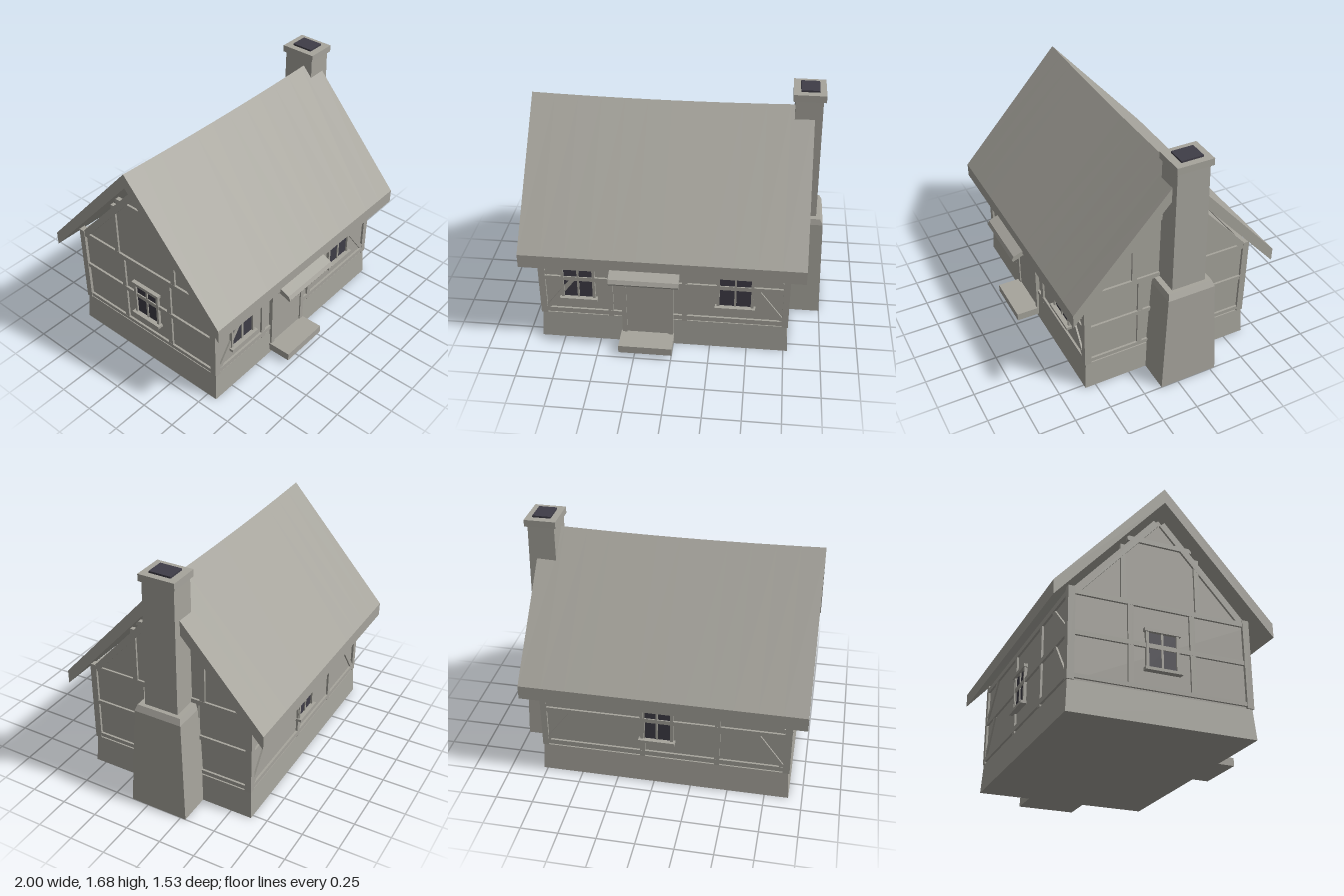
import * as THREE from 'three';

const plaster = new THREE.MeshStandardMaterial({ name: 'stoneGrey', color: 0xa6a49c });
const dark = new THREE.MeshStandardMaterial({ name: 'darkGlass', color: 0x3f3d47 });

const CZ = -0.035; // centre line of the house in z

function add(parent, name, geometry, material = plaster) {
  const mesh = new THREE.Mesh(geometry, material);
  mesh.name = name;
  parent.add(mesh);
  return mesh;
}

// Box given by its limits on each axis
function box(parent, name, [x0, x1], [y0, y1], [z0, z1], material) {
  const g = new THREE.BoxGeometry(x1 - x0, y1 - y0, z1 - z0);
  g.translate((x0 + x1) / 2, (y0 + y1) / 2, (z0 + z1) / 2);
  return add(parent, name, g, material);
}

// Block whose bottom and top rectangles [x0, x1, z0, z1] differ
function taper(parent, name, y0, y1, bottom, top) {
  const g = new THREE.BoxGeometry(1, 1, 1).toNonIndexed();
  const p = g.attributes.position;
  for (let i = 0; i < p.count; i++) {
    const up = p.getY(i) > 0;
    const r = up ? top : bottom;
    p.setXYZ(i, p.getX(i) < 0 ? r[0] : r[1], up ? y1 : y0, p.getZ(i) < 0 ? r[2] : r[3]);
  }
  g.computeVertexNormals();
  return add(parent, name, g);
}

// Cross-section of [z, y] points extruded along x
function extrudeX(points, x0, x1, steps = 1) {
  const shape = new THREE.Shape(points.map(([z, y]) => new THREE.Vector2(-z, y)));
  const g = new THREE.ExtrudeGeometry(shape, { depth: x1 - x0, steps, bevelEnabled: false });
  g.rotateY(Math.PI / 2);
  g.translate(x0, 0, 0);
  return g;
}

// Slanted timber between two points of a wall
function brace(wall, name, [u0, v0], [u1, v1], width = 0.03, depth = 0.024) {
  const m = add(wall, name, new THREE.BoxGeometry(Math.hypot(u1 - u0, v1 - v0), width, depth));
  m.position.set((u0 + u1) / 2, (v0 + v1) / 2, 0);
  m.rotation.z = Math.atan2(v1 - v0, u1 - u0);
}

const rail = (wall, u0, u1, v0, v1) => box(wall, 'rail', [u0, u1], [v0, v1], [-0.015, 0.015]);
const stud = (wall, u, v0, v1, w = 0.035) =>
  box(wall, 'stud', [u - w / 2, u + w / 2], [v0, v1], [-0.015, 0.014]);

function windowUnit(wall, u, w) {
  const g = new THREE.Group();
  g.name = 'window';
  g.position.x = u;
  wall.add(g);
  const h = w / 2;
  box(g, 'glass', [-h, h], [0.35, 0.59], [0, 0.007], dark);
  for (const s of [-1, 1]) {
    box(g, 'jamb', [s * h - 0.009, s * h + 0.009], [0.35, 0.59], [0, 0.02]);
  }
  box(g, 'mullion', [-0.007, 0.007], [0.35, 0.59], [0, 0.014]);
  box(g, 'glazingBar', [-h, h], [0.485, 0.51], [0, 0.013]);
  box(g, 'lintel', [-h - 0.02, h + 0.02], [0.588, 0.61], [0, 0.028]);
  box(g, 'sill', [-h - 0.022, h + 0.022], [0.334, 0.353], [0, 0.04]);
}

// Local wall frame: u to the right, v up, z outward
function makeWall(house, name, x, z, turn) {
  const wall = new THREE.Group();
  wall.name = name;
  wall.position.set(x, 0, z);
  wall.rotation.y = turn;
  house.add(wall);
  return wall;
}

// Long wall timbers; s mirrors the layout for the back
function longWall(wall, s) {
  const span = (a, b) => (s > 0 ? [a, b] : [-b, -a]);
  const [u0, u1] = span(-0.88, 0.75);
  rail(wall, u0, u1, 0.215, 0.248);
  rail(wall, u0, u1, 0.485, 0.515);
  rail(wall, u0, u1, 0.74, 0.775);
  for (const u of [-0.423, 0.078]) stud(wall, s * u, 0.2, 0.75);
  for (const m of [-1, 1]) {
    const at = (d, v) => [s * (-0.06 + m * d), v];
    brace(wall, 'lowerBrace', at(0.8, 0.24), at(0.615, 0.49));
    brace(wall, 'upperBrace', at(0.8, 0.53), at(0.57, 0.75));
  }
}

// Gable wall timbers, symmetric about the ridge
function gableWall(wall) {
  rail(wall, -0.58, 0.58, 0.215, 0.242);
  rail(wall, -0.58, 0.58, 0.485, 0.515);
  rail(wall, -0.58, 0.58, 0.75, 0.785);
  rail(wall, -0.22, 0.22, 1.2, 1.232);
  for (const s of [-1, 1]) {
    stud(wall, s * 0.205, 0.23, 0.76);
    stud(wall, s * 0.25, 0.77, 1.16);
    brace(wall, 'rafter', [s * 0.56, 0.77], [s * 0.02, 1.37], 0.045, 0.03);
  }
}

export function createModel() {
  const house = new THREE.Group();
  house.name = 'cottage';

  // Stone base and walls
  taper(house, 'foundation', 0, 0.2, [-0.91, 0.778, -0.647, 0.573], [-0.895, 0.765, -0.635, 0.562]);
  add(house, 'walls', extrudeX(
    [[0.555, 0.19], [0.555, 0.75], [CZ, 1.4], [-0.625, 0.75], [-0.625, 0.19]], -0.885, 0.755));
  for (const x of [[-0.905, -0.86], [0.73, 0.772]]) {
    for (const z of [[0.525, 0.57], [-0.64, -0.595]]) box(house, 'cornerPost', x, [0.2, 0.795], z);
  }

  // Timber framing and windows
  const front = makeWall(house, 'frontWall', 0, 0.555, 0);
  longWall(front, 1);
  windowUnit(front, -0.638, 0.21);
  windowUnit(front, 0.414, 0.225);
  const back = makeWall(house, 'backWall', 0, -0.625, Math.PI);
  longWall(back, -1);
  windowUnit(back, 0.02, 0.2);
  gableWall(makeWall(house, 'rightGable', 0.755, CZ, Math.PI / 2));
  const left = makeWall(house, 'leftGable', -0.885, CZ, -Math.PI / 2);
  gableWall(left);
  windowUnit(left, 0, 0.2);

  // Roof slab with a sagging ridge
  const roof = extrudeX([[0.685, 0.755], [-0.04, 1.55], [-0.765, 0.755],
    [-0.765, 0.66], [-0.04, 1.45], [0.685, 0.66]], -1, 0.865, 12);
  const p = roof.attributes.position;
  for (let i = 0; i < p.count; i++) {
    if (p.getY(i) > 1) p.setY(i, p.getY(i) + 0.016 * ((p.getX(i) + 0.0675) / 0.9325) ** 2);
  }
  roof.computeVertexNormals();
  add(house, 'roof', roof);

  // Chimney: wide foot, sloped shoulder, shaft, cap and flue
  const chimney = new THREE.Group();
  chimney.name = 'chimney';
  house.add(chimney);
  taper(chimney, 'chimneyFoot', 0, 0.715, [0.74, 1, -0.287, 0.122], [0.74, 0.975, -0.252, 0.084]);
  taper(chimney, 'chimneyShoulder', 0.715, 0.755, [0.74, 0.975, -0.252, 0.084], [0.74, 0.955, -0.24, 0.072]);
  taper(chimney, 'chimneyShaft', 0.75, 1.63, [0.735, 0.928, -0.204, 0.034], [0.735, 0.912, -0.195, 0.026]);
  box(chimney, 'chimneyCap', [0.72, 0.93], [1.62, 1.667], [-0.21, 0.04]);
  box(chimney, 'flue', [0.765, 0.887], [1.666, 1.679], [-0.16, -0.01], dark);

  // Door, step and small canopy on brackets
  const porch = new THREE.Group();
  porch.name = 'porch';
  house.add(porch);
  box(porch, 'step', [-0.355, 0.005], [0.03, 0.085], [0.55, 0.735]);
  box(porch, 'door', [-0.33, -0.015], [0.085, 0.64], [0.55, 0.573]);
  for (const x of [-0.33, -0.015]) box(porch, 'doorPost', [x - 0.016, x + 0.016], [0.085, 0.64], [0.55, 0.582]);
  box(porch, 'doorHeader', [-0.346, 0.001], [0.61, 0.645], [0.55, 0.58]);
  add(porch, 'canopy', extrudeX([[0.764, 0.627], [0.755, 0.612], [0.555, 0.7], [0.555, 0.735], [0.75, 0.653]], -0.4, 0.055));
  for (const x of [-0.352, -0.012]) {
    box(porch, 'bracketArm', [x, x + 0.022], [0.63, 0.655], [0.555, 0.7]);
    add(porch, 'bracketStrut', extrudeX(
      [[0.565, 0.528], [0.565, 0.555], [0.68, 0.64], [0.71, 0.64]], x, x + 0.022));
  }
  return house;
}
